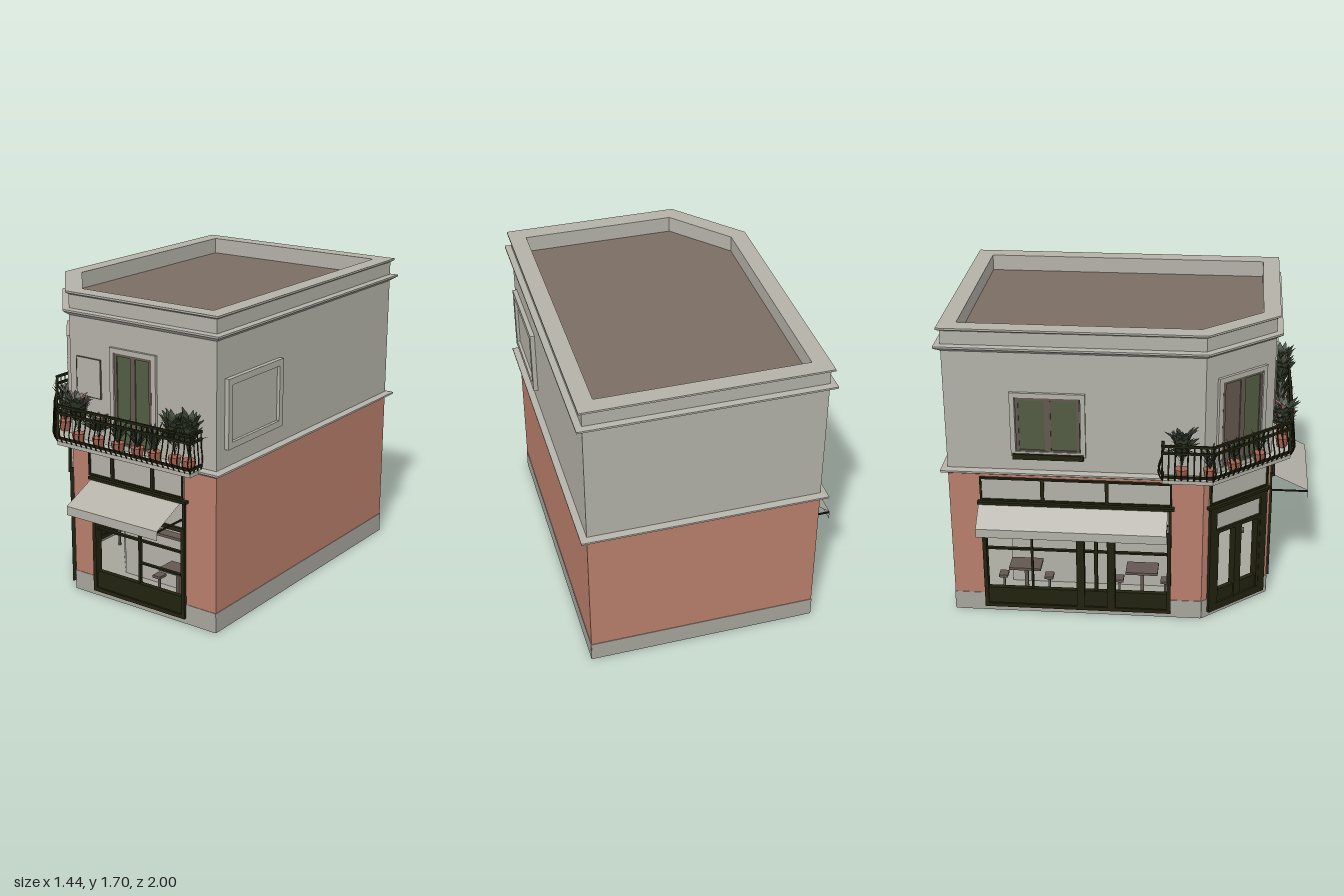
import * as THREE from 'three';
import { mergeGeometries } from 'three/addons/utils/BufferGeometryUtils.js';

const mat = (name, color, side = THREE.FrontSide) => {
  const m = new THREE.MeshStandardMaterial({ color, side });
  m.name = name;
  return m;
};

// Footprint corners (x, z), with the front left corner cut off
const FOOT = [[0.68, 0.78], [0.68, -0.96], [-0.585, -0.96], [-0.585, 0.42], [-0.27, 0.78]];

function offsetFoot(d) {
  const N = FOOT.length;
  const normal = i => {
    const a = FOOT[(i + N) % N], b = FOOT[(i + 1) % N];
    const dx = b[0] - a[0], dz = b[1] - a[1], l = Math.hypot(dx, dz);
    return [-dz / l, dx / l];
  };
  return FOOT.map((p, i) => {
    const a = normal(i - 1), b = normal(i);
    const k = d / (1 + a[0] * b[0] + a[1] * b[1]);
    return [p[0] + (a[0] + b[0]) * k, p[1] + (a[1] + b[1]) * k];
  });
}

// Sweeps a profile of [offset, y] around the footprint, optionally capped
function stack(levels, capped = false) {
  const pos = [];
  const rings = levels.map(([d, y]) => offsetFoot(d).map(([x, z]) => [x, y, z]));
  const tri = (...p) => p.forEach(v => pos.push(...v));
  for (let r = 0; r + 1 < rings.length; r++) {
    for (let i = 0; i < FOOT.length; i++) {
      const j = (i + 1) % FOOT.length, A = rings[r], B = rings[r + 1];
      tri(A[i], A[j], B[j]);
      tri(A[i], B[j], B[i]);
    }
  }
  if (capped) {
    const lo = rings[0], hi = rings[rings.length - 1];
    for (let i = 1; i + 1 < FOOT.length; i++) {
      tri(hi[0], hi[i], hi[i + 1]);
      tri(lo[0], lo[i + 1], lo[i]);
    }
  }
  const g = new THREE.BufferGeometry();
  g.setAttribute('position', new THREE.Float32BufferAttribute(pos, 3));
  g.computeVertexNormals();
  return g;
}

export function createModel() {
  const root = new THREE.Group();
  root.name = 'cornerShop';
  const plaster = mat('plaster', 0xb3b1a8, THREE.DoubleSide), brick = mat('terracotta wall', 0xb97e6b);
  const stone = mat('base stone', 0xa6a59c), roofMat = mat('roof', 0x7a6d63), dark = mat('dark frame', 0x21220f);
  const leaf = mat('leaf', 0x333d2c, THREE.DoubleSide), green = mat('green shutter', 0x525c43);
  const potMat = mat('clay pot', 0xa8634f), wood = mat('wood', 0x645850);
  const flower = mat('flower', 0x8c6e66, THREE.DoubleSide);

  const add = (parent, name, geo, m) => {
    const mesh = new THREE.Mesh(geo, m);
    mesh.name = name;
    parent.add(mesh);
    return mesh;
  };
  const box = (p, name, m, u0, u1, y0, y1, n0, n1) => {
    const b = add(p, name, new THREE.BoxGeometry(u1 - u0, y1 - y0, n1 - n0), m);
    b.position.set((u0 + u1) / 2, (y0 + y1) / 2, (n0 + n1) / 2);
    return b;
  };
  const frame = (p, name, m, u0, u1, y0, y1, w, n0, n1) => {
    box(p, name, m, u0, u0 + w, y0, y1, n0, n1);
    box(p, name, m, u1 - w, u1, y0, y1, n0, n1);
    box(p, name, m, u0 + w, u1 - w, y0, y0 + w, n0, n1);
    box(p, name, m, u0 + w, u1 - w, y1 - w, y1, n0, n1);
  };
  // Each facade has u along the wall and z pointing outwards
  const facade = (name, x, z, angle) => {
    const g = new THREE.Group();
    g.name = name;
    g.position.set(x, 0, z);
    g.rotation.y = angle;
    root.add(g);
    return g;
  };
  const front = facade('frontFacade', 0, 0.78, 0), left = facade('leftFacade', -0.585, 0, -Math.PI / 2);
  const right = facade('rightFacade', 0.68, 0, Math.PI / 2), back = facade('backFacade', 0, -0.96, Math.PI);
  const corner = facade('cornerFacade', -0.4275, 0.6, Math.atan2(-0.36, 0.315));

  // Main masses: floor, inner room, upper storey, parapet and cornices
  add(root, 'floor', stack([[-0.002, 0], [-0.002, 0.025]], true), stone);
  add(root, 'innerRoom', stack([[-0.28, 0.02], [-0.28, 0.87]], true), plaster);
  add(root, 'upperStorey', stack([[0, 0.86], [0, 1.59]], true), plaster);
  add(root, 'roof', stack([[-0.06, 1.58], [-0.06, 1.605]], true), roofMat);
  add(root, 'parapet', stack([[0, 1.58], [0, 1.675], [0.018, 1.685], [0.018, 1.695], [-0.075, 1.695], [-0.075, 1.58]]), plaster);
  add(root, 'upperCornice', stack([[0, 1.565], [0.034, 1.588], [0.034, 1.598], [0, 1.602]]), plaster);
  add(root, 'middleCornice', stack([[0, 0.855], [0.036, 0.875], [0.036, 0.885], [0, 0.892]]), plaster);

  // Ground floor wall around one opening
  const wall = (g, u0, u1, o) => {
    const piece = (a, b) => {
      box(g, 'wall', brick, a, b, 0.11, 0.86, -0.04, 0);
      box(g, 'wallBase', stone, a, b, 0, 0.11, -0.04, 0.003);
    };
    if (!o) return piece(u0, u1);
    piece(u0, o[0]);
    piece(o[1], u1);
    box(g, 'wall', brick, o[0], o[1], 0.69, 0.86, -0.04, 0);
    box(g, 'wallBase', stone, o[0], o[1], 0, 0.03, -0.04, 0.003);
  };
  wall(front, -0.27, 0.68, [-0.13, 0.49]);
  wall(left, -0.96, 0.42, [-0.79, 0.25]);
  wall(corner, -0.239, 0.239, [-0.2, 0.205]);
  wall(right, -0.78, 0.96);
  wall(back, -0.68, 0.585);

  // Shop joinery: outer frame, sign board, glazing bars and lower panel
  const bay = (g, u0, u1, top = 0.54) => {
    frame(g, 'bayFrame', dark, u0, u1, 0.03, top, 0.022, -0.03, 0.018);
    box(g, 'lowerPanel', dark, u0, u1, 0.03, 0.15, -0.02, 0.008);
  };
  const bar = (g, u0, u1, y0, y1) => box(g, 'glazingBar', dark, u0, u1, y0, y1, -0.02, 0);
  const transoms = (g, list) => list.forEach(([a, b]) => {
    box(g, 'transomPane', plaster, a, b, 0.705, 0.84, 0, 0.006);
    frame(g, 'transomFrame', dark, a, b, 0.702, 0.842, 0.01, 0, 0.016);
  });
  const head = (g, u0, u1) => {
    frame(g, 'shopFrame', dark, u0, u1, 0.03, 0.695, 0.016, -0.03, 0.014);
    box(g, 'signBoard', plaster, u0 + 0.01, u1 - 0.01, 0.535, 0.685, -0.02, 0.004);
    box(g, 'shopHead', dark, u0 - 0.015, u1 + 0.015, 0.682, 0.697, 0, 0.028);
  };
  head(front, -0.13, 0.49);
  bay(front, -0.13, 0.49);
  bar(front, 0.172, 0.184, 0.15, 0.53);
  bar(front, -0.11, 0.47, 0.39, 0.4);
  bar(front, 0.18, 0.47, 0.262, 0.27);
  transoms(front, [[-0.15, 0.012], [0.012, 0.28], [0.28, 0.48]]);

  head(left, -0.79, 0.25);
  bay(left, -0.79, -0.25);
  bay(left, -0.25, -0.08);
  bay(left, -0.08, 0.25);
  bar(left, -0.526, -0.514, 0.15, 0.53);
  bar(left, -0.77, 0.23, 0.39, 0.4);
  bar(left, -0.175, -0.155, 0.15, 0.53);
  transoms(left, [[-0.79, -0.45], [-0.45, -0.1], [-0.1, 0.25]]);

  head(corner, -0.2, 0.205);
  frame(corner, 'doorCase', dark, -0.2, 0.205, 0.03, 0.69, 0.045, -0.03, 0.02);
  bay(corner, -0.16, 0.0025);
  bay(corner, 0.0025, 0.165);
  transoms(corner, [[-0.2, 0.21]]);

  // Tables and stools inside
  const table = (g, u, n) => {
    box(g, 'tableTop', wood, u - 0.09, u + 0.09, 0.2, 0.215, n - 0.06, n + 0.06);
    box(g, 'tableLeg', wood, u - 0.01, u + 0.01, 0.025, 0.2, n - 0.01, n + 0.01);
    for (const s of [-1, 1]) {
      box(g, 'stool', wood, u + s * 0.13 - 0.025, u + s * 0.13 + 0.025, 0.13, 0.145, n - 0.03, n + 0.03);
      box(g, 'stoolLeg', wood, u + s * 0.13 - 0.006, u + s * 0.13 + 0.006, 0.025, 0.13, n - 0.006, n + 0.006);
    }
  };
  table(front, 0.32, -0.16);
  table(left, -0.58, -0.16);
  table(left, 0.08, -0.16);
  box(front, 'shelf', wood, 0.08, 0.47, 0.34, 0.355, -0.28, -0.22);

  // Sloping awnings with a hanging valance and side arms
  const awning = (g, u0, u1, depth) => {
    const geo = new THREE.PlaneGeometry(1, 1, 1, 2), p = geo.attributes.position;
    const rows = [[0.685, 0.015], [0.59, depth], [0.54, depth]];
    for (let i = 0; i < p.count; i++) {
      const [y, n] = rows[Math.floor(i / 2)];
      p.setXYZ(i, i % 2 ? u1 : u0, y, n);
    }
    const flat = geo.toNonIndexed();
    flat.computeVertexNormals();
    add(g, 'awning', flat, plaster);
    for (const u of [u0, u1 - 0.008]) box(g, 'awningArm', dark, u, u + 0.008, 0.58, 0.588, 0, depth - 0.002);
  };
  awning(front, -0.13, 0.47, 0.22);
  awning(left, -0.8, 0.23, 0.137);

  // Upper doors, window and wall panels
  const shutters = (g, u0, u1, y0, y1, first) => {
    const mid = (u0 + u1) / 2;
    frame(g, 'surround', plaster, u0 - 0.03, u1 + 0.03, y0 - 0.02, y1 + 0.025, 0.026, 0, 0.016);
    box(g, 'shutter', first, u0, mid, y0, y1, 0, 0.006);
    box(g, 'shutter', green, mid, u1, y0, y1, 0, 0.006);
    frame(g, 'shutterFrame', wood, u0, mid, y0, y1, 0.016, 0, 0.012);
    frame(g, 'shutterFrame', wood, mid, u1, y0, y1, 0.016, 0, 0.012);
  };
  shutters(front, 0.04, 0.28, 0.91, 1.41, green);
  shutters(corner, -0.13, 0.14, 0.91, 1.41, wood);
  shutters(left, -0.58, -0.24, 1, 1.32, green);
  box(left, 'windowPlanter', dark, -0.6, -0.22, 0.965, 0.995, 0, 0.03);
  box(front, 'wallPlaque', plaster, -0.22, -0.06, 1.14, 1.35, 0, 0.008);
  frame(front, 'plaqueEdge', wood, -0.222, -0.058, 1.138, 1.352, 0.004, 0, 0.01);
  frame(right, 'panelFrame', plaster, -0.71, -0.21, 0.99, 1.36, 0.035, 0, 0.025);
  box(right, 'panel', plaster, -0.68, -0.24, 1.02, 1.33, 0, 0.008);

  // Balcony slab
  const path = [[-0.6, 0.2], [-0.648, 0.2], [-0.648, 0.47], [-0.288, 0.882], [0.592, 0.882], [0.592, 0.79]];
  const slab = new THREE.Shape([...path, [0.592, 0.77], [-0.26, 0.77], [-0.57, 0.42], [-0.57, 0.2]].map(([x, z]) => new THREE.Vector2(x, -z)));
  const slabGeo = new THREE.ExtrudeGeometry(slab, { depth: 0.022, bevelEnabled: false });
  add(root, 'balconySlab', slabGeo.rotateX(-Math.PI / 2).translate(0, 0.868, 0), plaster);

  // Balcony railing with bowed balusters
  const rails = [];
  for (let i = 0; i + 1 < path.length; i++) {
    const [x0, z0] = path[i], [x1, z1] = path[i + 1];
    const len = Math.hypot(x1 - x0, z1 - z0), ang = Math.atan2(z0 - z1, x1 - x0);
    for (const y of [0.91, 1.05, 1.09])
      rails.push(new THREE.BoxGeometry(len + 0.01, 0.012, 0.014).rotateY(ang).translate((x0 + x1) / 2, y, (z0 + z1) / 2));
    const n = Math.max(1, Math.round(len / 0.034)), s = i < 4 ? 1 : 0.4;
    const ox = -(z1 - z0) / len * 0.022 * s, oz = (x1 - x0) / len * 0.022 * s;
    for (let k = 0; k <= n; k++) {
      const x = x0 + (x1 - x0) * k / n, z = z0 + (z1 - z0) * k / n;
      const pts = [[0.89, 0], [0.94, 1], [1.01, 0.2], [1.09, 0]].map(([y, b]) => new THREE.Vector3(x + ox * b, y, z + oz * b));
      rails.push(new THREE.TubeGeometry(new THREE.CatmullRomCurve3(pts), 7, 0.0042, 4));
    }
  }
  add(root, 'balconyRailing', mergeGeometries(rails), dark);

  // Potted plants: folded leaf blades spread around a centre
  let seed = 7;
  const rnd = () => (seed = (seed * 16807) % 2147483647) / 2147483647;
  const blades = (count, h, spread, w, y0) => {
    const pos = [];
    for (let i = 0; i < count; i++) {
      const a = rnd() * Math.PI * 2, c = Math.cos(a), s = Math.sin(a);
      const r = spread * (0.35 + 0.65 * rnd()), t = h * (0.5 + 0.5 * rnd()), b = y0 * t;
      const m = [c * r * 0.55, b + (t - b) * 0.7, s * r * 0.55];
      const L = [m[0] - s * w, m[1], m[2] + c * w], R = [m[0] + s * w, m[1], m[2] - c * w];
      const base = [c * r * y0 * 0.5, b, s * r * y0 * 0.5], tip = [c * r, t, s * r];
      pos.push(...base, ...L, ...R, ...L, ...tip, ...R);
    }
    const g = new THREE.BufferGeometry();
    g.setAttribute('position', new THREE.Float32BufferAttribute(pos, 3));
    g.computeVertexNormals();
    return g;
  };
  const plant = (x, z, h, kind) => {
    const g = new THREE.Group();
    g.name = 'pottedPlant';
    g.position.set(x, 0.89, z);
    root.add(g);
    add(g, 'pot', new THREE.CylinderGeometry(0.036, 0.026, 0.055, 10), potMat).position.y = 0.0275;
    const fol = new THREE.Group();
    fol.name = 'foliage';
    fol.position.y = 0.05;
    g.add(fol);
    if (kind === 'spiky') return add(fol, 'leaves', blades(26, h, 0.085, 0.008, 0), leaf);
    add(fol, 'stems', blades(14, h * 0.8, 0.05, 0.004, 0), leaf);
    add(fol, 'leaves', blades(90, h, 0.1, 0.018, 0.55), leaf);
    if (kind === 'flower') add(fol, 'blossom', blades(40, h * 1.02, 0.1, 0.014, 0.75), flower);
  };
  [[-0.61, 0.3, 0.25, 'bush'], [-0.6, 0.45, 0.15, 'spiky'], [-0.5, 0.575, 0.17, 'spiky'], [-0.38, 0.71, 0.17, 'spiky'],
    [-0.18, 0.835, 0.23, 'flower'], [-0.04, 0.835, 0.13, 'flower'], [0.09, 0.835, 0.15, 'spiky'], [0.22, 0.835, 0.13, 'spiky'],
    [0.33, 0.835, 0.17, 'spiky'], [0.46, 0.835, 0.24, 'bush'], [0.55, 0.835, 0.26, 'bush']].forEach(p => plant(...p));
  return root;
}
